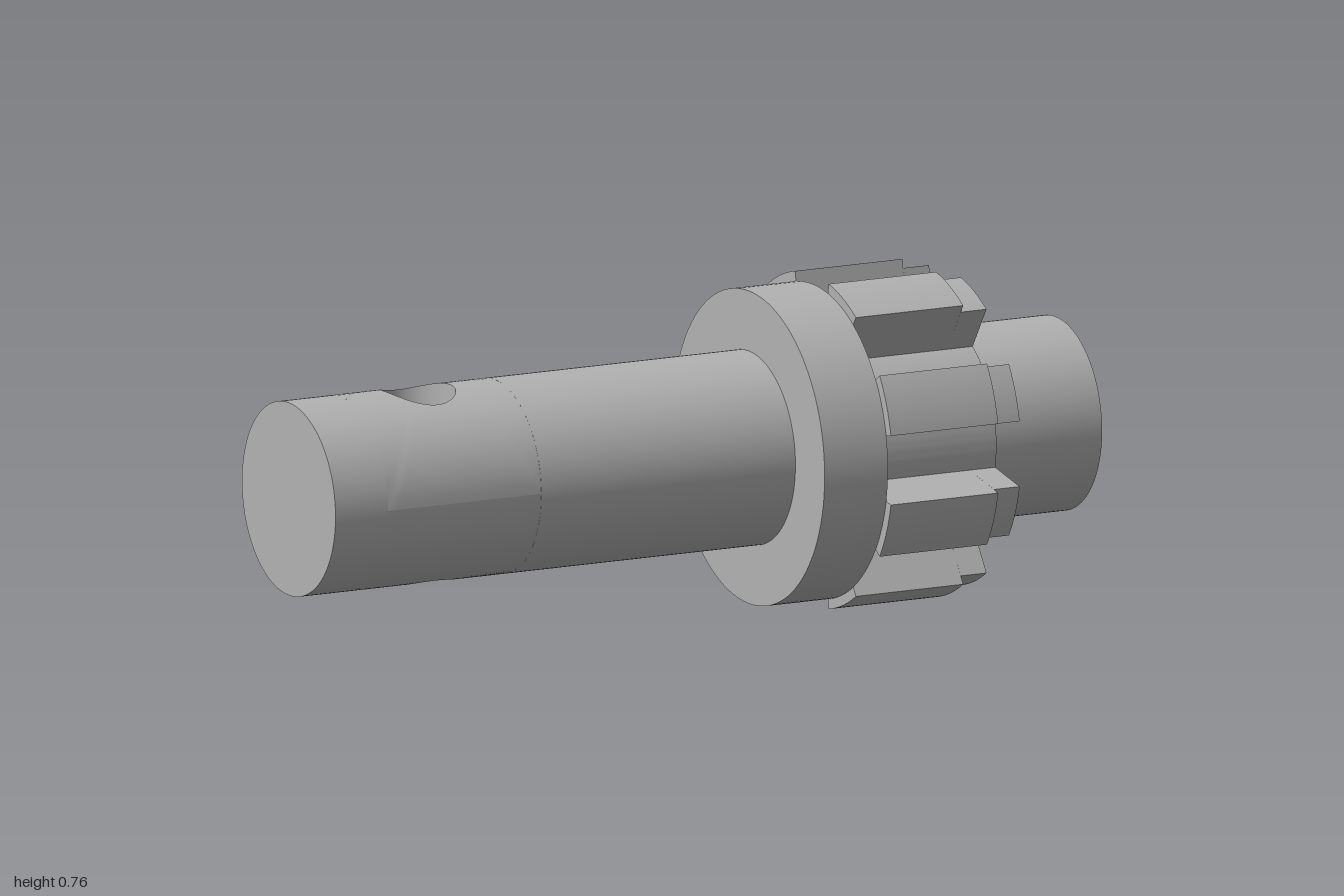
import * as THREE from 'three';
import { toCreasedNormals } from 'three/addons/utils/BufferGeometryUtils.js';

const R = 0.226;          // shaft radius
const AXIS_Y = 0.383;     // height of the shaft axis
const HOLE_X = -0.663;    // centre of the cross hole
const HOLE_SPAN = 0.2;    // half length of shaft rebuilt around the hole
const SOCKET = 0.28;      // depth of the hexagonal socket
const RAD = Math.PI / 180;

const steel = new THREE.MeshStandardMaterial({ color: 0xb2b2b2 });
steel.name = 'steel grey';

function add(group, name, geometry) {
  const mesh = new THREE.Mesh(geometry, steel);
  mesh.name = name;
  group.add(mesh);
  return mesh;
}

// Cylinder lying along x from x0 to x1
function rod(r, x0, x1, open = false) {
  return new THREE.CylinderGeometry(r, r, x1 - x0, 96, 1, open)
    .rotateZ(-Math.PI / 2).translate((x0 + x1) / 2, 0, 0);
}

// Extrude a cross-section along x from x0 to x1
function prism(shape, x0, x1) {
  const g = new THREE.ExtrudeGeometry(shape, { depth: x1 - x0, bevelEnabled: false, curveSegments: 8 });
  return toCreasedNormals(g.rotateY(Math.PI / 2).translate(x0, 0, 0), 0.5);
}

// Closed band of quads: point(u, t), u around, t from 0 to 1 across
function band(point, cols, rows) {
  const pos = [], idx = [];
  for (let j = 0; j <= rows; j++) {
    for (let i = 0; i < cols; i++) pos.push(...point((i / cols) * Math.PI * 2, j / rows));
  }
  for (let j = 0; j < rows; j++) {
    for (let i = 0; i < cols; i++) {
      const a = j * cols + i, b = j * cols + (i + 1) % cols, c = a + cols, d = b + cols;
      idx.push(a, b, c, b, d, c);
    }
  }
  const g = new THREE.BufferGeometry();
  g.setAttribute('position', new THREE.Float32BufferAttribute(pos, 3));
  g.setIndex(idx);
  g.computeVertexNormals();
  return g;
}

// Half of the shaft's skin, opened by an elliptical hole
function piercedSkin(a, b) {
  return band((u, t) => {
    const c = Math.cos(u), s = Math.sin(u), m = Math.max(Math.abs(c), Math.abs(s));
    const x = THREE.MathUtils.lerp(a * c, HOLE_SPAN * c / m, t);
    const ang = THREE.MathUtils.lerp(Math.asin(b * s / R), (Math.PI / 2) * s / m, t);
    return [HOLE_X + x, R * Math.cos(ang), R * Math.sin(ang)];
  }, 96, 12);
}

// Eight-tooth ring with radially cut slots
function toothShape(outer) {
  const shape = new THREE.Shape(), inner = 0.249;
  for (let k = 0; k < 8; k++) {
    const mid = 22.5 + 45 * k;
    shape.absarc(0, 0, outer, (mid - 10.5) * RAD, (mid + 10.5) * RAD, false);
    shape.absarc(0, 0, inner, (mid + 10.1) * RAD, (mid + 34.9) * RAD, false);
  }
  shape.closePath();
  return shape;
}

export function createModel() {
  const model = new THREE.Group();
  model.name = 'splinedShaft';
  model.position.y = AXIS_Y;

  // Shaft: plain end, pierced section, and main length
  add(model, 'shaftEnd', rod(R, -1, HOLE_X - HOLE_SPAN, true));
  add(model, 'shaftEndCap', new THREE.CircleGeometry(R, 96).rotateY(-Math.PI / 2).translate(-1, 0, 0));
  const top = [0.084, 0.095], bottom = [0.082, 0.083];
  add(model, 'piercedShaftTop', piercedSkin(...top));
  add(model, 'piercedShaftBottom', piercedSkin(...bottom).rotateX(Math.PI));
  add(model, 'crossHole', band((u, t) => {
    const a = THREE.MathUtils.lerp(bottom[0], top[0], t);
    const b = THREE.MathUtils.lerp(bottom[1], top[1], t);
    const z = b * Math.sin(u);
    return [HOLE_X + a * Math.cos(u), Math.sqrt(R * R - z * z) * (2 * t - 1), z];
  }, 96, 8));
  add(model, 'shaftBody', rod(R, HOLE_X + HOLE_SPAN, 1 - SOCKET));

  // Socket head: round outside, hexagonal recess inside
  const head = new THREE.Shape();
  for (let i = 0; i < 96; i++) {
    const a = (i / 96) * Math.PI * 2;
    head[i ? 'lineTo' : 'moveTo'](R * Math.cos(a), R * Math.sin(a));
  }
  const hex = new THREE.Path();
  for (let i = 0; i < 6; i++) {
    const a = -i * 60 * RAD;
    hex[i ? 'lineTo' : 'moveTo'](0.011 + 0.166 * Math.cos(a), 0.166 * Math.sin(a));
  }
  hex.closePath();
  head.holes.push(hex);
  add(model, 'socketHead', prism(head, 1 - SOCKET, 1));

  // Collar and stepped teeth
  add(model, 'collar', rod(0.367, 0.2, 0.365));
  add(model, 'teeth', prism(toothShape(0.39), 0.365, 0.645));
  add(model, 'toothTips', prism(toothShape(0.369), 0.645, 0.712));

  const root = new THREE.Group();
  root.add(model);
  return root;
}
